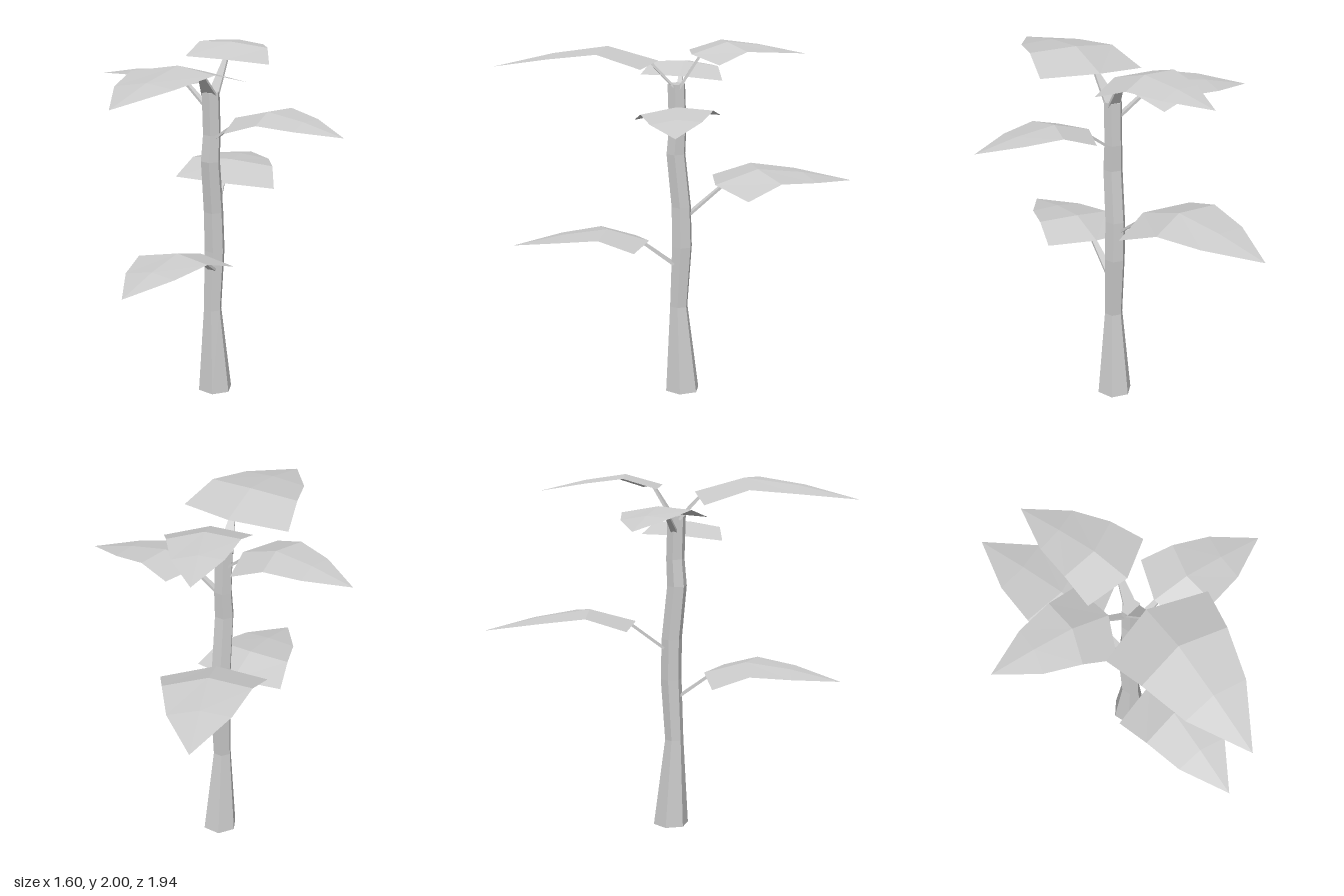
import * as THREE from 'three';

const material = new THREE.MeshStandardMaterial({
  color: 0xcccccc, flatShading: true, side: THREE.DoubleSide,
});

// Trunk rings: height, centre x, centre z, radius
const RINGS = [
  [0, -0.006, -0.048, 0.1],
  [0.5, -0.008, -0.027, 0.053],
  [0.85, -0.008, -0.045, 0.06],
  [1.08, -0.012, -0.04, 0.058],
  [1.38, -0.01, -0.01, 0.056],
  [1.53, -0.008, -0.02, 0.052],
  [1.77, -0.01, -0.012, 0.052],
];

// Leaf rows for a full-size leaf: [along spine, height] at the spine and [along, height, half width] at the edge
const LEAF_LENGTH = 0.9;
const LEAF_ROWS = [
  { spine: [0, 0], edge: [0.095, -0.025, 0.313] },
  { spine: [0.275, 0.08], edge: [0.328, 0.05, 0.258] },
  { spine: [0.57, 0.042], edge: [0.591, 0.02, 0.182] },
];
const LEAF_TIP = [LEAF_LENGTH, -0.032];
const LEAF_ROLL = 0.06;

// Each branch: leaf base, leaf tip (x, z), where the stem leaves the trunk, stem width at the trunk
const BRANCHES = [
  { name: 'topFront', base: [0.03, 1.9, 0.08], tip: [0.16, 0.97], root: [-0.008, 1.75, 0.0], width: 0.09 },
  { name: 'topBack', base: [0.015, 1.935, -0.1], tip: [-0.295, -0.7], root: [-0.005, 1.74, -0.025], width: 0.07 },
  { name: 'upperLeft', base: [0.14, 1.64, -0.04], tip: [0.8, -0.12], root: [0.03, 1.52, -0.02], width: 0.04 },
  { name: 'upperRight', base: [-0.135, 1.793, -0.015], tip: [-0.8, 0], root: [-0.04, 1.68, -0.015], width: 0.035 },
  { name: 'middleBack', base: [-0.105, 1.186, -0.22], tip: [-0.475, -0.97], root: [-0.04, 1.03, -0.08], width: 0.04 },
  { name: 'lowerFront', base: [0.035, 0.886, 0.135], tip: [0.145, 0.89], root: [0.01, 0.75, 0.0], width: 0.05 },
];

// Crooked six-sided trunk
function createTrunk() {
  const steps = RINGS.length - 1;
  const geometry = new THREE.CylinderGeometry(1, 1, 1, 6, steps, false, Math.PI / 6);
  const p = geometry.attributes.position;
  for (let i = 0; i < p.count; i++) {
    const [y, cx, cz, r] = RINGS[Math.round((p.getY(i) + 0.5) * steps)];
    p.setXYZ(i, cx + p.getX(i) * r, y, cz + p.getZ(i) * r);
  }
  geometry.computeVertexNormals();
  const mesh = new THREE.Mesh(geometry, material);
  mesh.name = 'trunk';
  return mesh;
}

// Broad leaf, bent across the ridge and drooping to a point
function createLeaf(base, tip) {
  const dx = tip[0] - base[0], dz = tip[1] - base[2];
  const length = Math.hypot(dx, dz);
  const scale = length / LEAF_LENGTH;
  const ux = dx / length, uz = dz / length;
  const positions = [];
  const add = (along, height, across) => positions.push(
    base[0] + scale * (along * ux + across * uz),
    base[1] + scale * (height + LEAF_ROLL * across),
    base[2] + scale * (along * uz - across * ux),
  );
  for (const { spine, edge } of LEAF_ROWS) {
    add(edge[0], edge[1], -edge[2]);
    add(spine[0], spine[1], 0);
    add(edge[0], edge[1], edge[2]);
  }
  add(LEAF_TIP[0], LEAF_TIP[1], 0);

  const index = [];
  const last = LEAF_ROWS.length - 1;
  for (let row = 0; row <= last; row++) {
    for (let col = 0; col < 2; col++) {
      const a = row * 3 + col, b = a + 1;
      if (row === last) index.push(a, positions.length / 3 - 1, b);
      else index.push(a, a + 3, b, b, a + 3, b + 3);
    }
  }
  const geometry = new THREE.BufferGeometry();
  geometry.setAttribute('position', new THREE.Float32BufferAttribute(positions, 3));
  geometry.setIndex(index);
  geometry.computeVertexNormals();
  return new THREE.Mesh(geometry, material);
}

// Flat stem, narrowing from the trunk to just under the leaf
function createStem(root, base, tip, width) {
  const start = new THREE.Vector3(...root);
  const out = new THREE.Vector3(tip[0] - base[0], 0, tip[1] - base[2]).normalize();
  const end = new THREE.Vector3(...base).addScaledVector(out, 0.06);
  end.y += 0.008;
  const length = start.distanceTo(end);
  const geometry = new THREE.BoxGeometry(1, 0.014, length);
  const p = geometry.attributes.position;
  for (let i = 0; i < p.count; i++) {
    p.setX(i, p.getX(i) * (p.getZ(i) < 0 ? width : 0.024));
  }
  geometry.translate(0, 0, length / 2);
  const mesh = new THREE.Mesh(geometry, material);
  mesh.position.copy(start);
  mesh.lookAt(end);
  return mesh;
}

export function createModel() {
  const model = new THREE.Group();
  model.name = 'tree';
  model.add(createTrunk());
  for (const { name, base, tip, root, width } of BRANCHES) {
    const branch = new THREE.Group();
    branch.name = `${name}Branch`;
    const leaf = createLeaf(base, tip);
    leaf.name = `${name}Leaf`;
    const stem = createStem(root, base, tip, width);
    stem.name = `${name}Stem`;
    branch.add(stem, leaf);
    model.add(branch);
  }
  return model;
}
